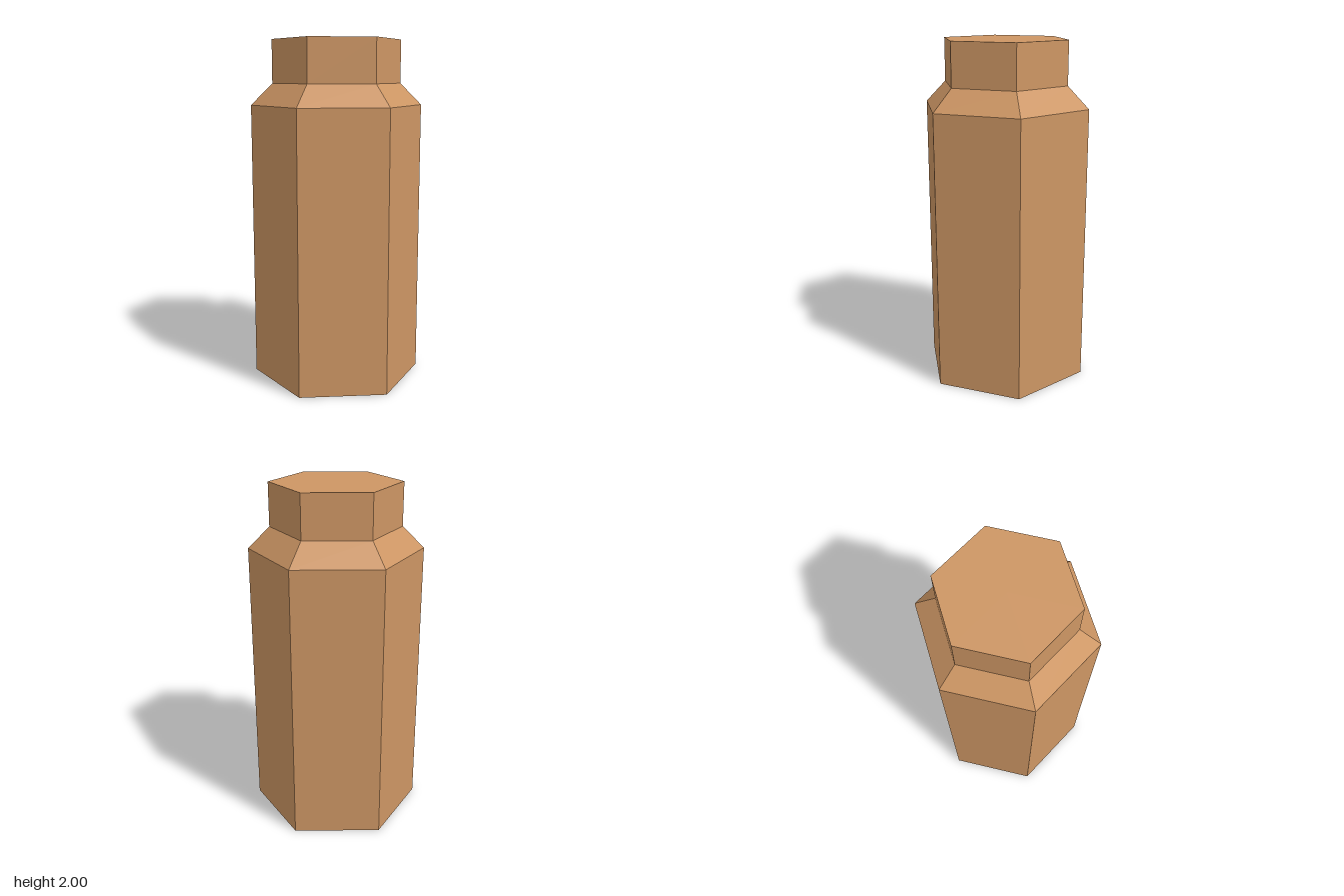
import * as THREE from 'three';

export function createModel() {
  const group = new THREE.Group();
  group.name = 'hexagonalBottle';

  const tan = new THREE.MeshStandardMaterial({ color: 0xcd9664, flatShading: true });
  tan.name = 'tan';

  // Six-sided section with corners on the x axis; a cap is kept only where it is exposed
  function section(name, topRadius, bottomRadius, y0, y1, cap) {
    const geometry = new THREE.CylinderGeometry(
      topRadius, bottomRadius, y1 - y0, 6, 1, true, Math.PI / 6);
    const mesh = new THREE.Mesh(geometry, tan);
    mesh.name = name;
    mesh.position.y = (y0 + y1) / 2;
    group.add(mesh);
    if (cap) {
      const disc = new THREE.CircleGeometry(cap === 'top' ? topRadius : bottomRadius, 6);
      disc.rotateX(cap === 'top' ? -Math.PI / 2 : Math.PI / 2);
      const face = new THREE.Mesh(disc, tan);
      face.name = name + 'Cap';
      face.position.y = cap === 'top' ? y1 : y0;
      group.add(face);
    }
  }

  section('body', 0.5, 0.5, 0, 1.625, 'bottom');
  section('shoulder', 0.375, 0.5, 1.625, 1.75);
  section('neck', 0.375, 0.375, 1.75, 2, 'top');

  return group;
}
